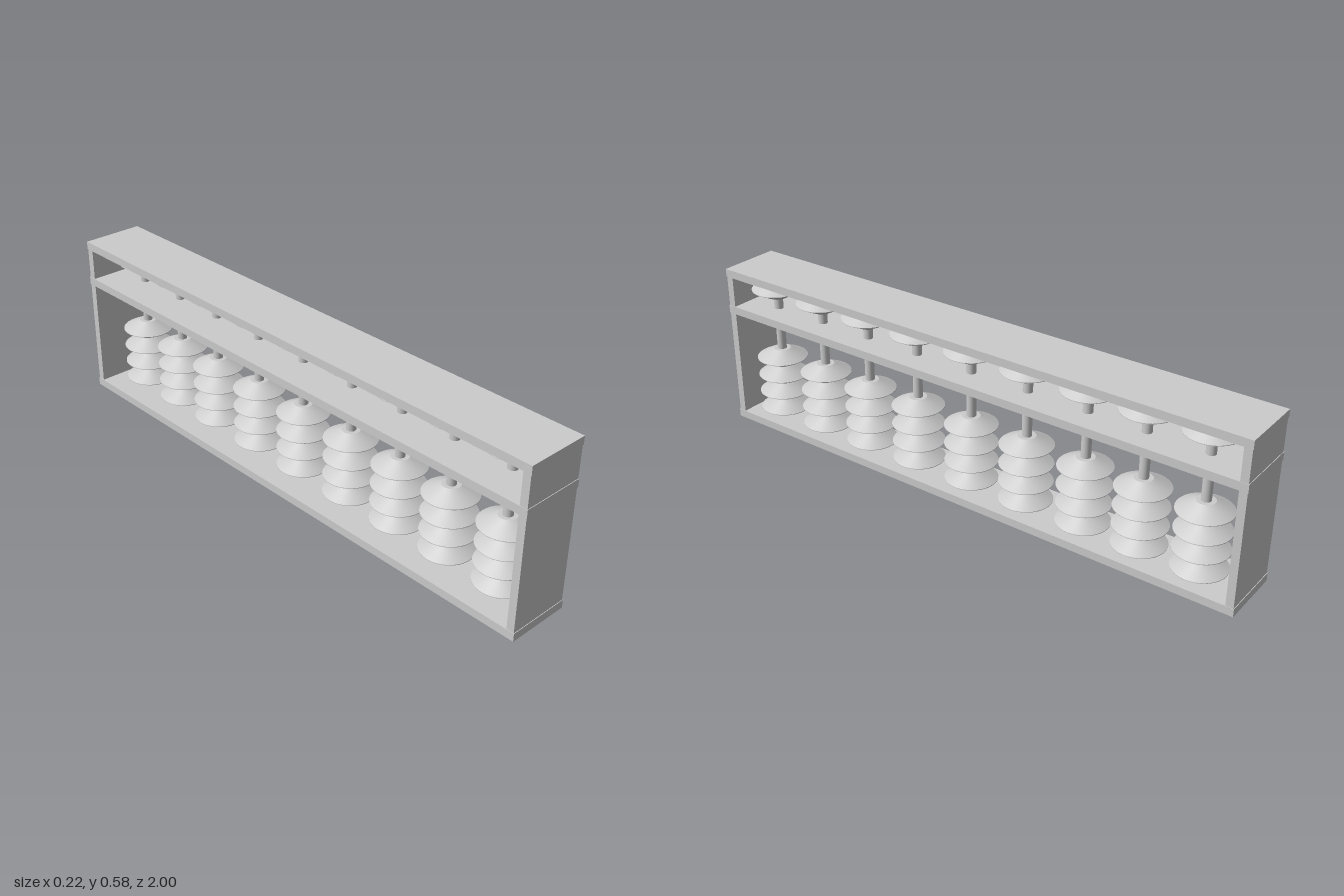
import * as THREE from 'three';

export function createModel() {
  const group = new THREE.Group();
  group.name = 'abacus';
  const material = new THREE.MeshStandardMaterial({ color: 0xcccccc });

  const add = (name, geometry, x, y, z, parent = group) => {
    const mesh = new THREE.Mesh(geometry, material);
    mesh.name = name;
    mesh.position.set(x, y, z);
    parent.add(mesh);
    return mesh;
  };

  // Long frame boards: base, dividing beam and top
  const board = new THREE.BoxGeometry(0.22, 0.028, 2);
  add('baseBoard', board, 0, 0.014, 0);
  add('dividerBeam', board, 0, 0.429, 0);
  add('topBoard', board, 0, 0.565, 0);

  // End panels, set slightly inside the board edges
  const endPanel = new THREE.BoxGeometry(0.217, 0.56, 0.026);
  add('frontEndPanel', endPanel, 0, 0.29, 0.985);
  add('backEndPanel', endPanel, 0, 0.29, -0.985);

  // Bead: two shallow cones meeting in a sharp rim, with flat ends
  const beadParts = [[0, -0.032], [0.03, -0.032], [0.089, -0.001], [0.089, 0.001], [0.03, 0.032], [0, 0.032]];
  const bead = new THREE.LatheGeometry(
    beadParts.flatMap(([r, y], i) => {
      // Doubled points at the corners keep the edges crisp
      const p = new THREE.Vector2(r, y);
      return i === 0 || i === beadParts.length - 1 ? [p] : [p, p.clone()];
    }), 40);
  const rod = new THREE.CylinderGeometry(0.016, 0.016, 0.54, 24);

  // Rods, each with four lower beads and one upper bead
  const rodZ = [0.845, 0.635, 0.43, 0.22, 0, -0.217, -0.434, -0.635, -0.84];
  const beadY = [0.06, 0.125, 0.19, 0.257, 0.517];
  for (const z of rodZ) {
    const column = new THREE.Group();
    column.name = 'beadColumn';
    column.position.set(0.02, 0, z);
    group.add(column);
    add('rod', rod, 0, 0.29, 0, column);
    beadY.forEach((y, i) => add(i < 4 ? 'lowerBead' : 'upperBead', bead, 0, y, 0, column));
  }
  return group;
}
